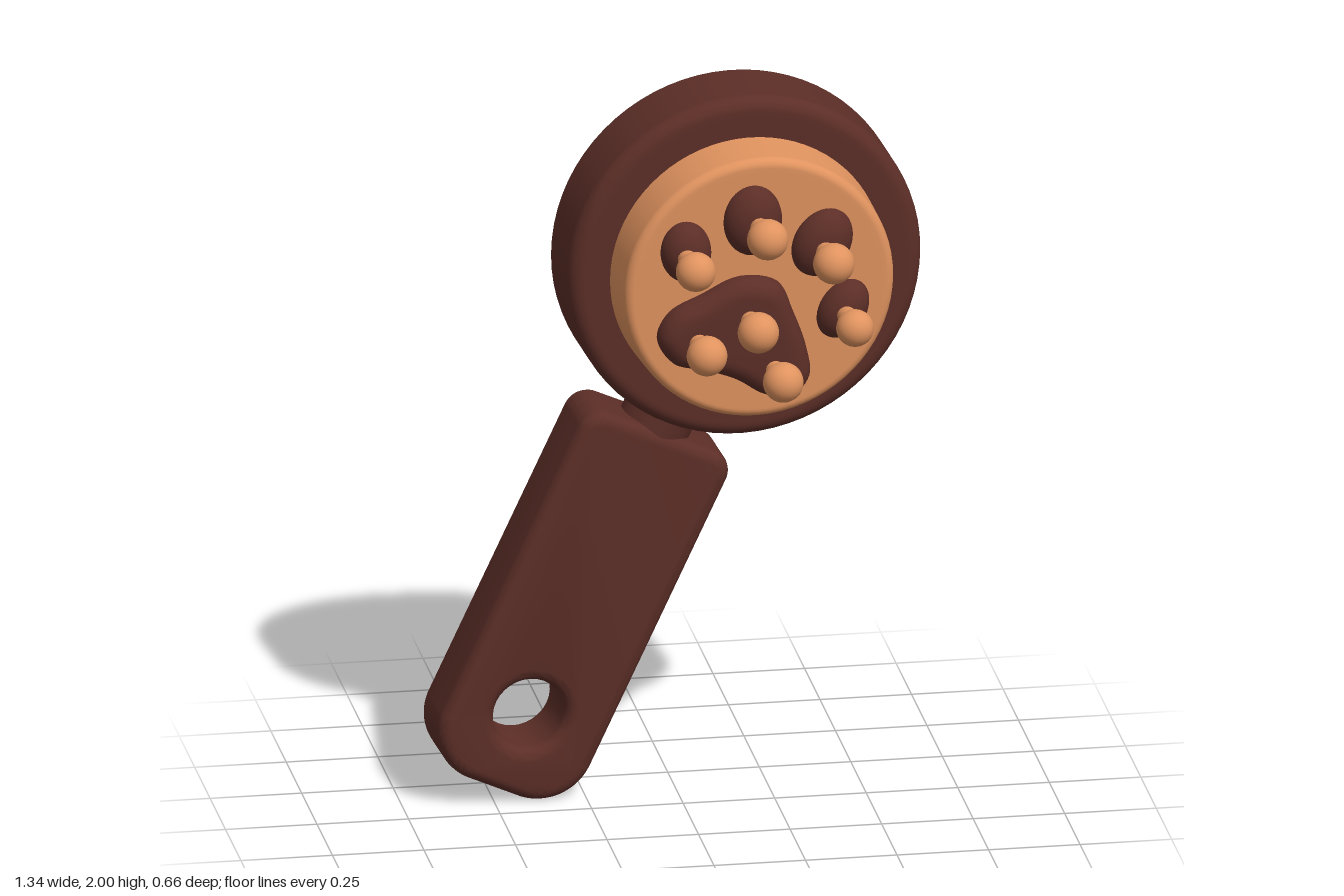
import * as THREE from 'three';
import { toCreasedNormals } from 'three/addons/utils/BufferGeometryUtils.js';

const dark = new THREE.MeshStandardMaterial({ color: 0x5c2e27 });
const tan = new THREE.MeshStandardMaterial({ color: 0xe0935f });

const LEAN = THREE.MathUtils.degToRad(-25); // handle leans sideways
const ROLL = THREE.MathUtils.degToRad(4.7); // slight twist about the handle
const CENTRE = new THREE.Vector3(0.172, 1.51, -0.17); // middle of the head

// Model position (x, y) to the brush's own plane at depth d
function toLocal(x, y, d) {
  const dx = x - CENTRE.x - 0.074 * d, dy = y - CENTRE.y + 0.034 * d;
  const c = Math.cos(LEAN), s = Math.sin(LEAN);
  return new THREE.Vector2(c * dx + s * dy, -s * dx + c * dy);
}

function add(parent, name, geometry, material) {
  const mesh = new THREE.Mesh(geometry, material);
  mesh.name = name;
  parent.add(mesh);
  return mesh;
}

// Round slab facing z, with rounded edges; r0 at the back, r1 at the front
function disc(r0, r1, z0, z1, bevel) {
  const pts = [new THREE.Vector2(0, z0), new THREE.Vector2(r0 - bevel - 0.01, z0)];
  const arc = (r, z, from) => {
    for (let i = 0; i <= 8; i++) {
      const a = from + (i / 8) * Math.PI / 2;
      pts.push(new THREE.Vector2(r - bevel + bevel * Math.cos(a), z + bevel * Math.sin(a)));
    }
  };
  arc(r0, z0 + bevel, -Math.PI / 2);
  arc(r1, z1 - bevel, 0);
  pts.push(new THREE.Vector2(r1 - bevel - 0.01, z1), new THREE.Vector2(0, z1));
  return new THREE.LatheGeometry(pts, 72).rotateX(Math.PI / 2);
}

// Extrusion between z0 and z1 whose rounded edges stay inside the outline
function slab(shape, z0, z1, bevel) {
  const geometry = new THREE.ExtrudeGeometry(shape, {
    depth: z1 - z0 - 2 * bevel, curveSegments: 16,
    bevelThickness: bevel, bevelSize: bevel, bevelOffset: -bevel, bevelSegments: 6,
  }).translate(0, 0, z0 + bevel);
  return toCreasedNormals(geometry, 0.6);
}

// Handle outline: small corners at the top, large ones at the bottom, hanging hole
function handleShape() {
  const w = 0.226, top = -0.52, bottom = -1.612, rt = 0.065, rb = 0.15;
  const s = new THREE.Shape();
  s.moveTo(w, bottom + rb);
  s.lineTo(w, top - rt);
  s.absarc(w - rt, top - rt, rt, 0, Math.PI / 2);
  s.absarc(-w + rt, top - rt, rt, Math.PI / 2, Math.PI);
  s.absarc(-w + rb, bottom + rb, rb, Math.PI, Math.PI * 1.5);
  s.absarc(w - rb, bottom + rb, rb, Math.PI * 1.5, Math.PI * 2);
  const hole = new THREE.Path();
  hole.absarc(0, -1.385, 0.098, 0, Math.PI * 2, true);
  s.holes.push(hole);
  return s;
}

export function createModel() {
  const model = new THREE.Group();
  model.name = 'pawBrush';
  const brush = new THREE.Group();
  brush.name = 'brush';
  brush.position.copy(CENTRE);
  brush.rotation.set(0, ROLL, LEAN, 'ZYX');
  model.add(brush);

  // Body
  add(brush, 'head', disc(0.49, 0.49, -0.125, 0.125, 0.04), dark);
  add(brush, 'cushion', disc(0.38, 0.374, 0.08, 0.278, 0.025), tan);
  add(brush, 'handle', slab(handleShape(), -0.108, 0.108, 0.035), dark);
  add(brush, 'neck', new THREE.CylinderGeometry(0.1, 0.1, 0.16, 32), dark).position.y = -0.51;

  // Toe pads: x, y, half width, half height, turn in the front plane
  const toes = [
    [-0.015, 1.627, 0.07, 0.087, 0.1],
    [0.17, 1.702, 0.081, 0.1, 0],
    [0.363, 1.622, 0.08, 0.1, -0.5],
    [0.422, 1.425, 0.066, 0.088, -0.55],
  ];
  for (const [x, y, rx, ry, turn] of toes) {
    const p = toLocal(x, y, 0.28);
    const toe = add(brush, 'toePad', new THREE.SphereGeometry(1, 32, 20), dark);
    toe.position.set(p.x, p.y, 0.275);
    toe.scale.set(rx, ry, 0.062);
    toe.rotation.z = turn - LEAN;
  }

  // Three-lobed main pad
  const outline = [
    [-0.093, 1.385], [-0.06, 1.455], [0.03, 1.5], [0.135, 1.543], [0.24, 1.52],
    [0.283, 1.431], [0.32, 1.325], [0.328, 1.245], [0.283, 1.193], [0.204, 1.2],
    [0.124, 1.25], [0.04, 1.283], [-0.05, 1.31],
  ].reverse().map(([x, y]) => {
    const p = toLocal(x, y, 0.29);
    return new THREE.Vector3(p.x, p.y, 0);
  });
  const curve = new THREE.CatmullRomCurve3(outline, true);
  const padShape = new THREE.Shape(curve.getPoints(78).slice(0, -1).map((p) => new THREE.Vector2(p.x, p.y)));
  add(brush, 'mainPad', slab(padShape, 0.22, 0.335, 0.05), dark);

  // Ball-tipped pins: x, y, ball radius
  const pins = [
    [-0.013, 1.622, 0.054], [0.186, 1.698, 0.056], [0.37, 1.612, 0.056], [0.43, 1.42, 0.051],
    [0.02, 1.375, 0.055], [0.162, 1.43, 0.056], [0.232, 1.28, 0.055],
  ];
  for (const [x, y, r] of pins) {
    const p = toLocal(x, y, 0.425);
    const pin = new THREE.Group();
    pin.name = 'pin';
    pin.position.set(p.x, p.y, 0);
    add(pin, 'pinStem', new THREE.CylinderGeometry(0.026, 0.026, 0.15, 20).rotateX(Math.PI / 2), tan).position.z = 0.345;
    add(pin, 'pinBall', new THREE.SphereGeometry(r, 28, 18), tan).position.z = 0.427;
    brush.add(pin);
  }
  return model;
}
